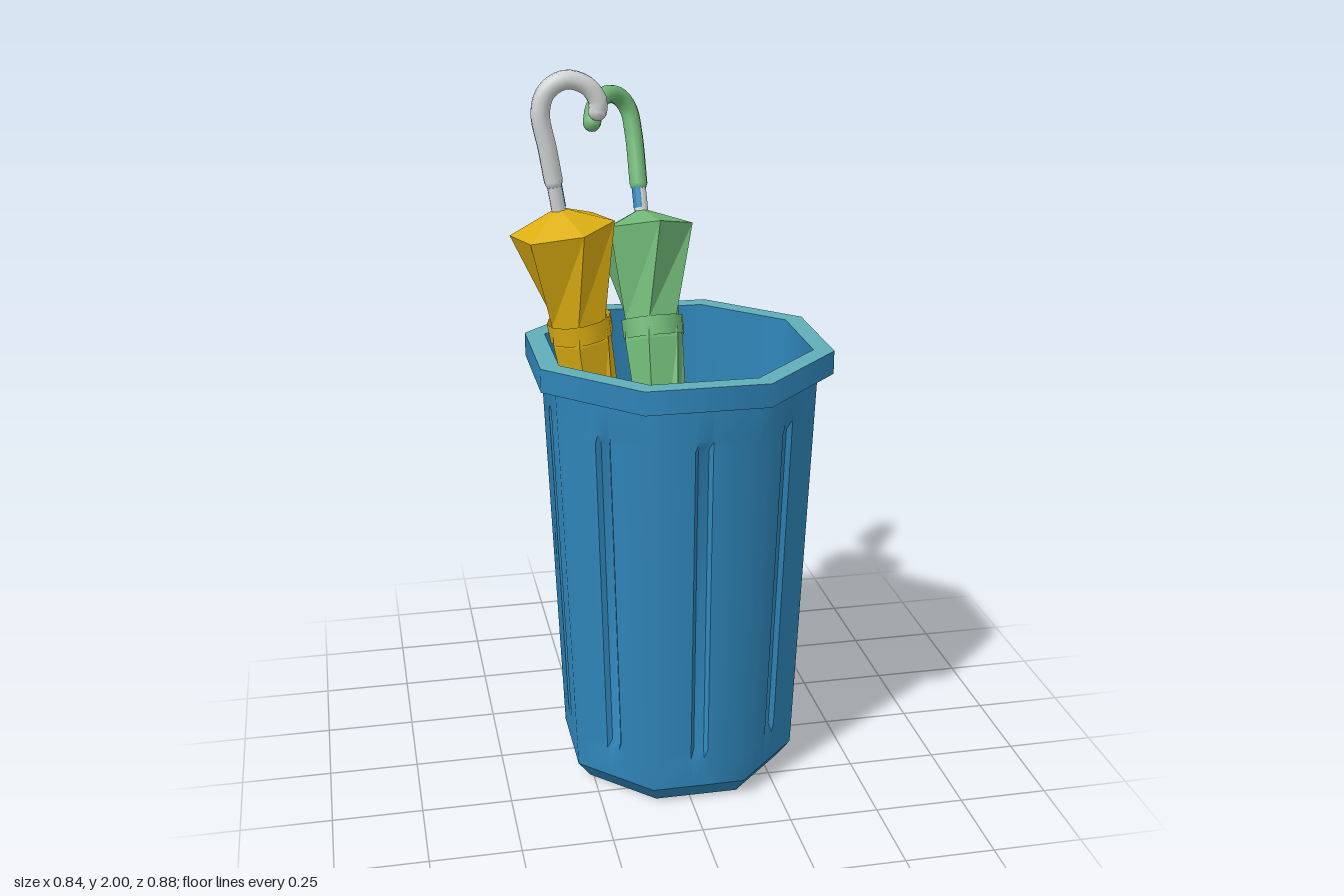
import * as THREE from 'three';
import { toCreasedNormals } from 'three/addons/utils/BufferGeometryUtils.js';

const mat = (name, color, extra = {}) => Object.assign(new THREE.MeshStandardMaterial({ color, ...extra }), { name });

function mesh(name, geometry, material) {
  const m = new THREE.Mesh(geometry, material);
  m.name = name;
  return m;
}

// Triangle soup from a list of quads / triangles
function soup(faces) {
  const pos = [];
  for (const f of faces)
    for (let i = 1; i < f.length - 1; i++)
      for (const p of [f[0], f[i], f[i + 1]]) pos.push(p.x, p.y, p.z);
  const g = new THREE.BufferGeometry();
  g.setAttribute('position', new THREE.Float32BufferAttribute(pos, 3));
  g.computeVertexNormals();
  return g;
}

// Octagonal band between two [apothem, y] profile points, flats facing the axes
function band(name, a, b, material) {
  const pts = [a, b].map(([r, y]) => new THREE.Vector2(r / Math.cos(Math.PI / 8), y));
  return mesh(name, new THREE.LatheGeometry(pts, 8, Math.PI / 8), material);
}

// Tapered octagonal wall with a recessed groove in each face
function grooveWall() {
  const rows = [0.05, 0.14, 0.165, 1.075, 1.1, 1.2];
  const faces = [];
  for (let k = 0; k < 8; k++) {
    const t = k * Math.PI / 4;
    const point = (c, r) => {
      const y = rows[r];
      const a = 0.315 + 0.045 * (y - 0.05) / 1.15;
      const edge = a * Math.tan(Math.PI / 8);
      const u = [-edge, -0.024, -0.014, 0.014, 0.024, edge][c];
      const sunk = (c === 2 || c === 3) && (r === 2 || r === 3);
      const d = a - (sunk ? 0.012 : 0);
      return new THREE.Vector3(Math.sin(t) * d + Math.cos(t) * u, y, Math.cos(t) * d - Math.sin(t) * u);
    };
    for (let r = 0; r < 5; r++)
      for (let c = 0; c < 5; c++)
        faces.push([point(c, r), point(c + 1, r), point(c + 1, r + 1), point(c, r + 1)]);
  }
  return toCreasedNormals(soup(faces), 0.83);
}

// Folded six-sided canopy hanging down from the origin, twisting as it narrows
function canopyGeometry(start) {
  const sections = [[-0.06, 0.145, 0], [-0.32, 0.085, 25], [-0.38, 0.088, 30], [-0.85, 0.058, 60], [-1.39, 0.024, 90]];
  const rings = sections.map(([y, r, twist]) => Array.from({ length: 6 }, (_, i) => {
    const a = THREE.MathUtils.degToRad(start + twist + i * 60);
    return new THREE.Vector3(r * Math.cos(a), y, r * Math.sin(a));
  }));
  const apex = new THREE.Vector3(0, 0, 0);
  const faces = [];
  for (let i = 0; i < 6; i++) {
    const j = (i + 1) % 6;
    faces.push([apex, rings[0][j], rings[0][i]]);
    for (let s = 0; s < rings.length - 1; s++)
      faces.push([rings[s][i], rings[s][j], rings[s + 1][j], rings[s + 1][i]]);
  }
  return soup(faces);
}

function umbrella({ name, apex, dir, start, canopy, handle, shaft, shaftPatch, patchArc, shaftTop, path }) {
  const g = new THREE.Group();
  g.name = name;

  // Leaning parts, built along the local y axis
  const lean = new THREE.Group();
  lean.name = name + 'Body';
  lean.position.set(...apex);
  lean.quaternion.setFromUnitVectors(new THREE.Vector3(0, 1, 0), new THREE.Vector3(...dir).normalize());
  const strap = mesh('strap', new THREE.CylinderGeometry(0.09, 0.088, 0.055, 12, 1, true), canopy);
  strap.position.y = -0.345;
  const rod = mesh('shaft', new THREE.CylinderGeometry(0.02, 0.02, shaftTop + 0.02, 10), shaft);
  rod.position.y = shaftTop / 2 - 0.01;
  const patch = mesh('shaftPatch', new THREE.CylinderGeometry(0.0215, 0.0215, shaftTop, 6, 1, true, ...patchArc), shaftPatch);
  patch.position.y = shaftTop / 2;
  const tip = mesh('ferrule', new THREE.CylinderGeometry(0.02, 0.016, 0.06, 8), shaft);
  tip.position.y = -1.4;
  lean.add(mesh('canopy', canopyGeometry(start), canopy), strap, rod, patch, tip);

  // Hooked handle with a rounded end
  const pts = path.map(p => new THREE.Vector3(...p));
  const curve = new THREE.CatmullRomCurve3(pts);
  const end = mesh('handleEnd', new THREE.SphereGeometry(0.026, 10, 8), handle);
  end.position.copy(pts[pts.length - 1]);
  const foot = end.clone();
  foot.name = 'handleFoot';
  foot.scale.setScalar(0.95);
  foot.position.copy(pts[0]);
  g.add(lean, mesh('handle', new THREE.TubeGeometry(curve, 28, 0.026, 10), handle), end, foot);
  return g;
}

export function createModel() {
  const blue = mat('bin blue', 0x2f86ba);
  const teal = mat('rim teal', 0x62aeb8);
  const indigo = mat('floor indigo', 0x2f3b8e);
  const yellow = mat('canopy yellow', 0xdcae12, { side: THREE.DoubleSide });
  const green = mat('canopy green', 0x70b876, { side: THREE.DoubleSide });
  const grey = mat('light grey', 0xd2d5d5);

  const model = new THREE.Group();
  model.name = 'umbrellaStand';

  // Bin
  const bin = new THREE.Group();
  bin.name = 'bin';
  bin.position.set(0.02, 0, 0.04);
  bin.add(
    band('base', [0, 0], [0.28, 0], blue),
    band('baseBevel', [0.28, 0], [0.315, 0.05], blue),
    mesh('wall', grooveWall(), blue),
    band('rimUnderside', [0.36, 1.2], [0.4, 1.2], blue),
    band('rimSide', [0.4, 1.2], [0.4, 1.265], blue),
    band('rimTop', [0.4, 1.265], [0.3475, 1.265], teal),
    band('innerWall', [0.3475, 1.265], [0.316, 0.45], blue),
    band('innerWallLower', [0.316, 0.45], [0.3, 0.06], indigo),
    band('floor', [0.3, 0.06], [0, 0.06], indigo)
  );

  // Umbrellas
  model.add(bin,
    umbrella({
      name: 'yellowUmbrella', apex: [-0.288, 1.635, -0.055], dir: [-0.16, 1, 0], start: 14,
      canopy: yellow, handle: grey, shaft: grey, shaftPatch: blue, patchArc: [0.9, 1.35], shaftTop: 0.075,
      path: [[-0.299, 1.705, -0.055], [-0.313, 1.79, -0.055], [-0.33, 1.89, -0.055], [-0.312, 1.945, -0.055],
        [-0.26, 1.974, -0.055], [-0.203, 1.955, -0.055], [-0.176, 1.915, -0.055], [-0.177, 1.888, -0.055]]
    }),
    umbrella({
      name: 'greenUmbrella', apex: [-0.012, 1.56, -0.318], dir: [-0.03, 1, -0.4], start: 20,
      canopy: green, handle: green, shaft: grey, shaftPatch: blue, patchArc: [-1.5, 1.5], shaftTop: 0.07,
      path: [[-0.014, 1.625, -0.344], [-0.018, 1.76, -0.396], [-0.03, 1.83, -0.414], [-0.06, 1.868, -0.405],
        [-0.1, 1.878, -0.375], [-0.14, 1.85, -0.335], [-0.152, 1.812, -0.312]]
    })
  );
  return model;
}
